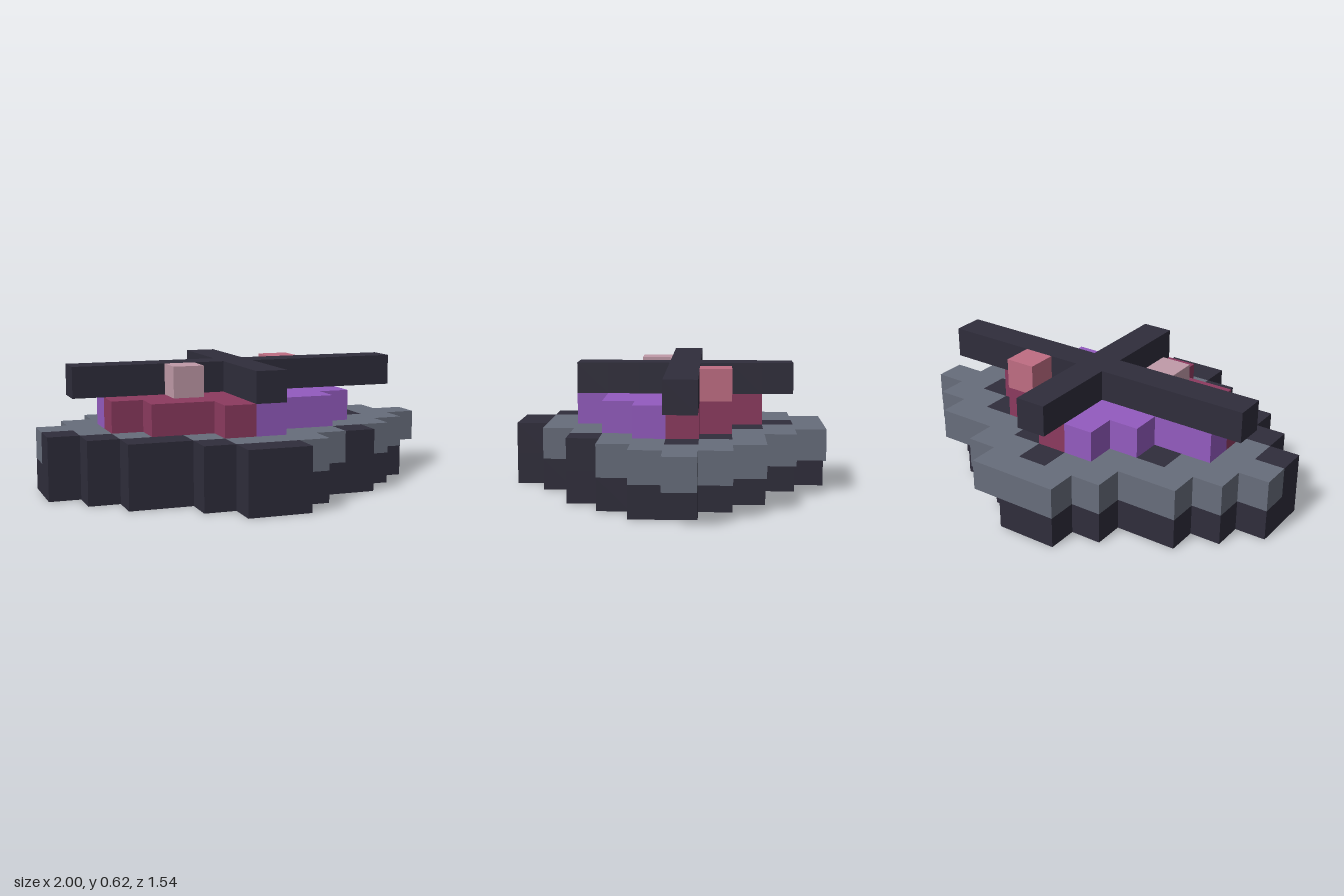
import * as THREE from 'three';

const CELL = 2 / 13; // edge of one block; the model is 13 x 4 x 10 blocks

const paint = (name, color) => {
  const m = new THREE.MeshStandardMaterial({ color });
  m.name = name;
  return m;
};

// Floor plans from bottom to top; rows run back to front, columns from -x to +x.
// d dark, g stone, m magenta, p purple, k pink, l pale pink
const LAYERS = [
  [
    '.....dd......',
    '....dddd.....',
    '..dddddddd...',
    '.dddddddddd..',
    'dddddddddddd.',
    'dddddddddddd.',
    '.dddddddddd..',
    '..dddddddd...',
    '....dddd.....',
    '.....dd......',
  ],
  [
    '.....ggg.....',
    '....ggdgg....',
    '..gggggdggg..',
    '.ggdgggggdgg.',
    'ggggggggggdgg',
    'dggggggggggg.',
    '.dggggggggg..',
    '..ddgggggd...',
    '....dggg.....',
    '.....dd......',
  ],
  [
    '', '',
    '.....pm......',
    '....ppmmm....',
    '..ppppmmmm...',
    '..mmmmpppp...',
    '...mmmppp....',
    '.....mp......',
  ],
  [
    '',
    '......d......',
    '......d......',
    '......d.k....',
    '.ddddddddddd.',
    '....l.d......',
    '......d......',
    '......d......',
  ],
];

const at = (x, y, z) => {
  const c = LAYERS[y]?.[z]?.[x];
  return c && c !== '.' ? c : null;
};

// Outward direction and the two in-face axes (u x v = n) of each block side
const SIDES = [
  [[1, 0, 0], [0, 1, 0], [0, 0, 1]],
  [[-1, 0, 0], [0, 0, 1], [0, 1, 0]],
  [[0, 1, 0], [0, 0, 1], [1, 0, 0]],
  [[0, -1, 0], [1, 0, 0], [0, 0, 1]],
  [[0, 0, 1], [1, 0, 0], [0, 1, 0]],
  [[0, 0, -1], [0, 1, 0], [1, 0, 0]],
];

// Only the exposed block faces of one colour in one layer
function blocks(y, key) {
  const pos = [], nor = [], idx = [];
  for (let z = 0; z < 10; z++) for (let x = 0; x < 13; x++) {
    if (at(x, y, z) !== key) continue;
    for (const [n, u, v] of SIDES) {
      if (at(x + n[0], y + n[1], z + n[2])) continue;
      const base = pos.length / 3;
      for (const [a, b] of [[-0.5, -0.5], [0.5, -0.5], [0.5, 0.5], [-0.5, 0.5]]) {
        const p = [x - 6, y + 0.5, z - 4.5];
        for (let i = 0; i < 3; i++) pos.push((p[i] + n[i] / 2 + a * u[i] + b * v[i]) * CELL);
        nor.push(...n);
      }
      idx.push(base, base + 1, base + 2, base, base + 2, base + 3);
    }
  }
  const g = new THREE.BufferGeometry();
  g.setAttribute('position', new THREE.Float32BufferAttribute(pos, 3));
  g.setAttribute('normal', new THREE.Float32BufferAttribute(nor, 3));
  g.setIndex(idx);
  return g;
}

export function createModel() {
  const mats = {
    d: paint('dark slate', 0x2f2d3b),
    g: paint('stone grey', 0x676d7b),
    m: paint('magenta', 0x8c3a5f),
    p: paint('purple', 0x935bbf),
    k: paint('pink', 0xbf6d83),
    l: paint('pale pink', 0xc09aa8),
  };
  const parts = [
    ['base', 0, 'd'],
    ['stonePlate', 1, 'g'],
    ['darkRimAndInlays', 1, 'd'],
    ['magentaQuarters', 2, 'm'],
    ['purpleQuarters', 2, 'p'],
    ['crossBars', 3, 'd'],
    ['pinkPeg', 3, 'k'],
    ['palePeg', 3, 'l'],
  ];
  const model = new THREE.Group();
  model.name = 'blockModel';
  for (const [name, layer, key] of parts) {
    const mesh = new THREE.Mesh(blocks(layer, key), mats[key]);
    mesh.name = name;
    model.add(mesh);
  }
  return model;
}
